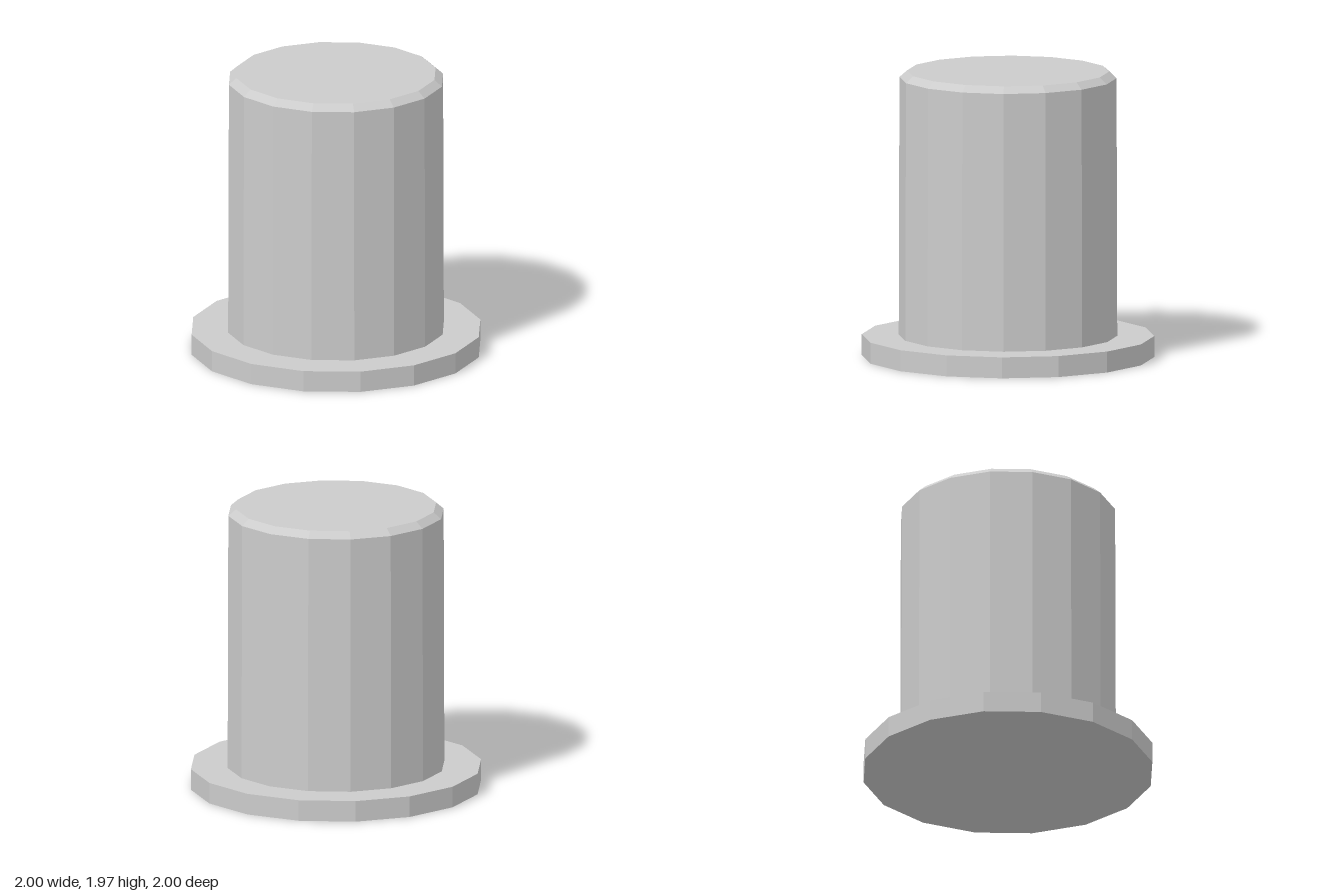
import * as THREE from 'three';

const SIDES = 16;

export function createModel() {
  const model = new THREE.Group();
  const material = new THREE.MeshStandardMaterial({ color: 0xcccccc, flatShading: true });

  // Frustum standing between two heights
  function addFrustum(name, rBottom, rTop, y0, y1) {
    const geometry = new THREE.CylinderGeometry(rTop, rBottom, y1 - y0, SIDES);
    geometry.translate(0, (y0 + y1) / 2, 0);
    const mesh = new THREE.Mesh(geometry, material);
    mesh.name = name;
    model.add(mesh);
  }

  // Wide base disc
  addFrustum('baseFlange', 1, 1, 0, 0.145);

  // Barely tapered post with a chamfered top, closed at the cap
  const profile = [[0.747, 0.145], [0.742, 1.925], [0.69, 1.97], [0, 1.97]]
    .map(([r, y]) => new THREE.Vector2(r, y));
  const post = new THREE.Mesh(new THREE.LatheGeometry(profile, SIDES), material);
  post.name = 'post';
  model.add(post);

  return model;
}
